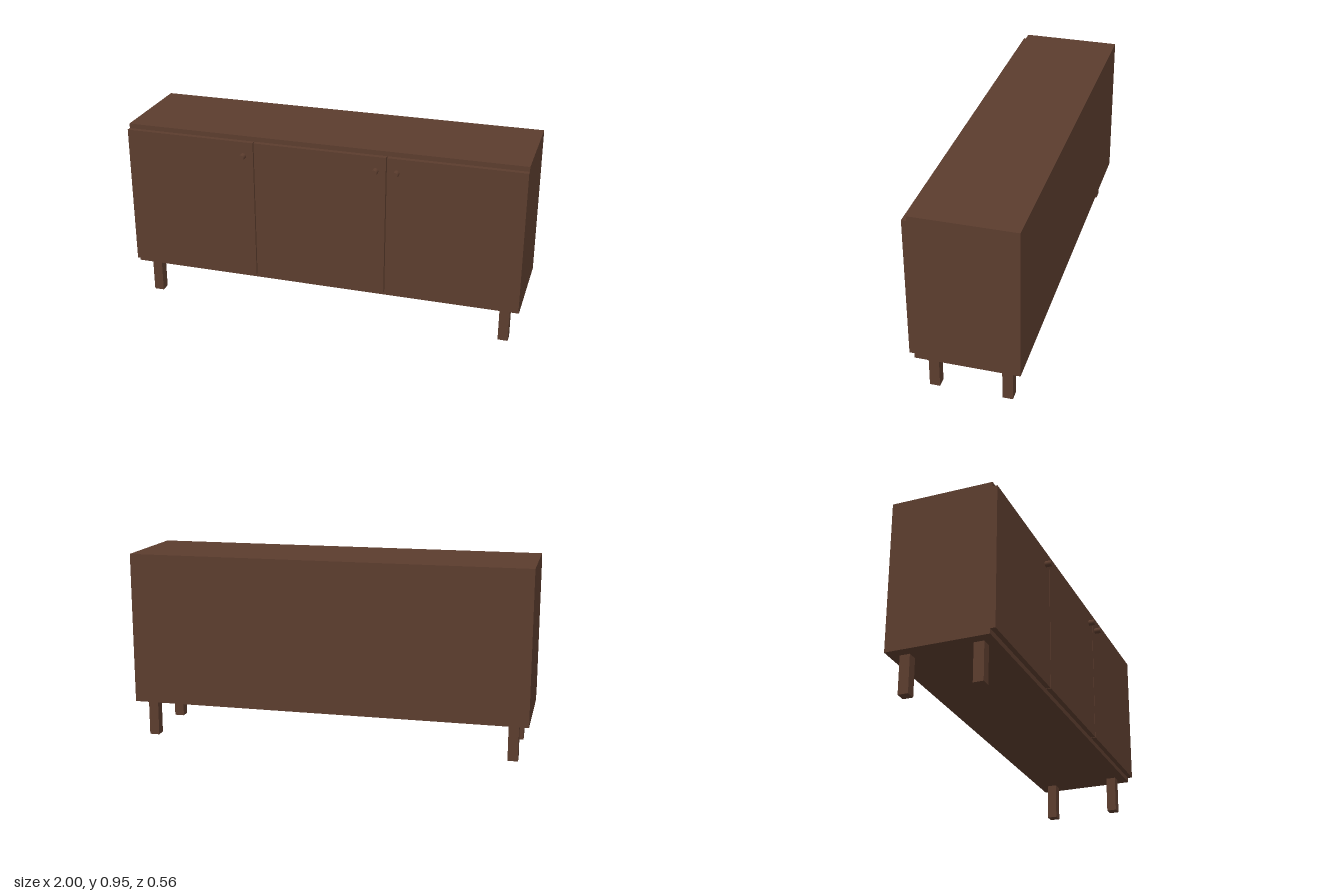
import * as THREE from 'three';

export function createModel() {
  const model = new THREE.Group();
  const wood = new THREE.MeshStandardMaterial({ color: 0x5c3d2e });
  wood.name = 'dark wood';

  const add = (name, geometry, x, y, z) => {
    const mesh = new THREE.Mesh(geometry, wood);
    mesh.name = name;
    mesh.position.set(x, y, z);
    model.add(mesh);
    return mesh;
  };

  // Cabinet body
  const bottom = 0.188, top = 0.951, back = -0.278, front = 0.223;
  add('cabinet', new THREE.BoxGeometry(2, top - bottom, front - back),
    0, (top + bottom) / 2, (front + back) / 2);

  // Three overlay doors with narrow gaps, each with a round knob
  const doorDepth = 0.024, doorWidth = 2 / 3, gap = 0.005;
  const knobX = [-0.387, 0.28, 0.382];
  const knobGeometry = new THREE.CylinderGeometry(0.015, 0.015, 0.032, 24).rotateX(Math.PI / 2);
  ['right', 'middle', 'left'].forEach((side, i) => {
    const x0 = -1 + i * doorWidth + (i > 0 ? gap / 2 : 0);
    const x1 = -1 + (i + 1) * doorWidth - (i < 2 ? gap / 2 : 0);
    add(`${side}Door`, new THREE.BoxGeometry(x1 - x0, 0.714, doorDepth),
      (x0 + x1) / 2, 0.57, front + doorDepth / 2);
    add(`${side}Knob`, knobGeometry, knobX[i], 0.855, front + doorDepth + 0.016);
  });

  // Four square legs
  const legGeometry = new THREE.BoxGeometry(0.05, bottom, 0.05);
  for (const x of [-0.925, 0.925]) {
    for (const z of [0.15, -0.203]) {
      add(`${z > 0 ? 'front' : 'back'}${x > 0 ? 'Left' : 'Right'}Leg`, legGeometry, x, bottom / 2, z);
    }
  }

  return model;
}
